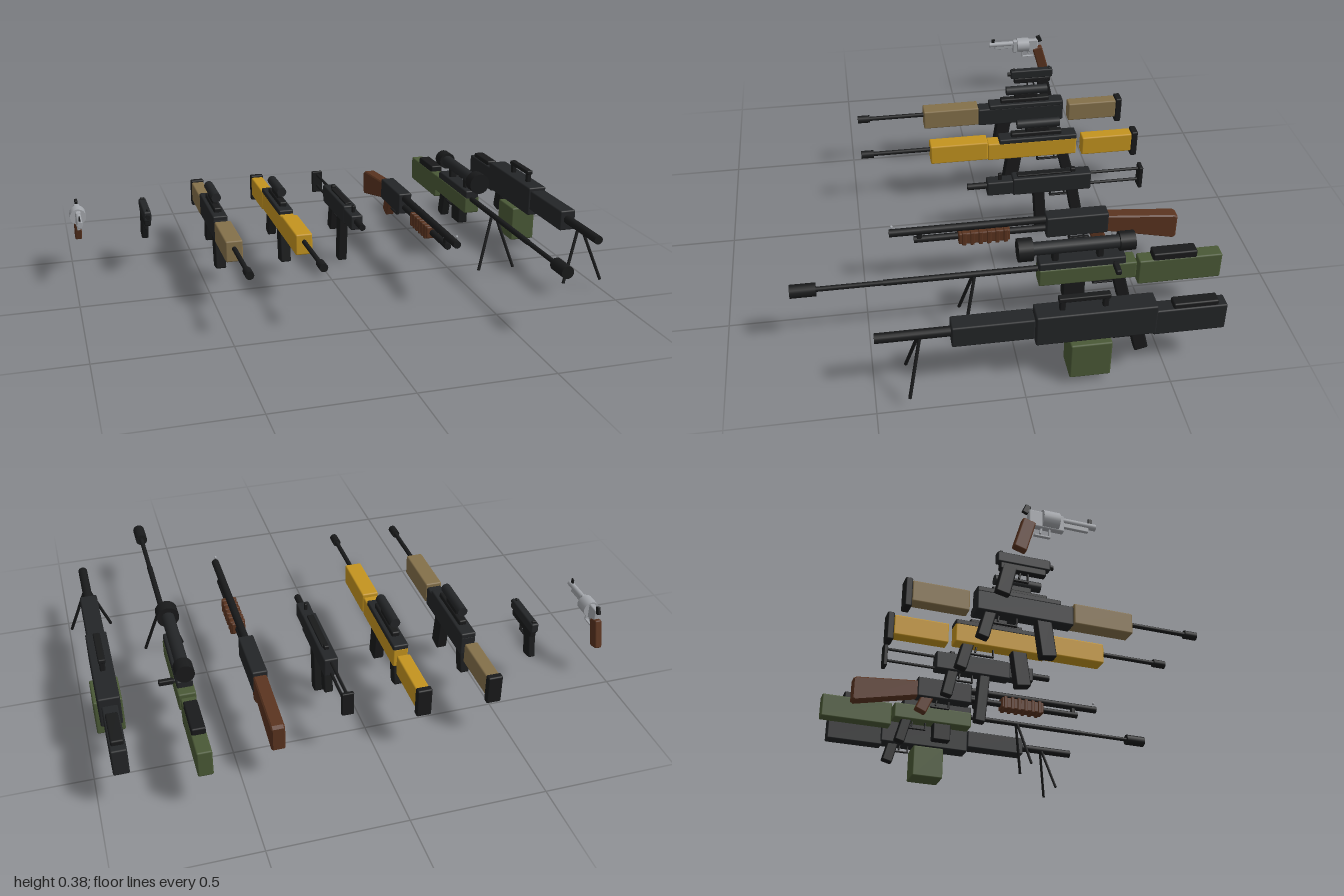
import * as THREE from 'three';
import { RoundedBoxGeometry } from 'three/addons/geometries/RoundedBoxGeometry.js';

const material = (name, color) => Object.assign(new THREE.MeshStandardMaterial({ color }), { name });

const dark = material('gunmetal', 0x232527);
const black = material('black', 0x191a1b);
const tan = material('tan', 0x84704a);
const yellow = material('yellow', 0xc4941f);
const brown = material('brown wood', 0x59331f);
const green = material('olive green', 0x4a5936);
const steel = material('steel', 0xa3a6ab);

function add(group, name, geometry, mat) {
  const mesh = new THREE.Mesh(geometry, mat);
  mesh.name = name;
  group.add(mesh);
  return mesh;
}

// Softly bevelled box given by width, height range and depth range; a positive tilt swings its foot back
function box(group, name, mat, w, y0, y1, z0, z1, tilt = 0, x = 0) {
  const h = y1 - y0, d = z1 - z0;
  const r = Math.min(0.006, w * 0.25, h * 0.25, d * 0.25);
  const mesh = add(group, name, new RoundedBoxGeometry(w, h, d, 2, r), mat);
  mesh.position.set(x, (y0 + y1) / 2, (z0 + z1) / 2);
  mesh.rotation.x = tilt;
  return mesh;
}

// Cylinder lying along z
function tube(group, name, mat, r, y, z0, z1, x = 0) {
  const mesh = add(group, name, new THREE.CylinderGeometry(r, r, z1 - z0, 16).rotateX(Math.PI / 2), mat);
  mesh.position.set(x, y, (z0 + z1) / 2);
  return mesh;
}

// Thin rod between two points
function rod(group, name, mat, r, a, b) {
  const from = new THREE.Vector3(...a), to = new THREE.Vector3(...b);
  const dir = to.clone().sub(from);
  const mesh = add(group, name, new THREE.CylinderGeometry(r, r, dir.length(), 8), mat);
  mesh.position.copy(from).add(to).multiplyScalar(0.5);
  mesh.quaternion.setFromUnitVectors(new THREE.Vector3(0, 1, 0), dir.normalize());
}

// Side profile of [z, y] points, extruded to a width
function profile(group, name, mat, w, points) {
  const b = 0.005;
  const shape = new THREE.Shape(points.map(([z, y]) => new THREE.Vector2(-z, y)));
  const geometry = new THREE.ExtrudeGeometry(shape, {
    depth: w - 2 * b, bevelThickness: b, bevelSize: b, bevelOffset: -b, bevelSegments: 1,
  });
  geometry.translate(0, 0, b - w / 2).rotateY(Math.PI / 2);
  return add(group, name, geometry, mat);
}

function triggerGuard(group, mat, top, z0, z1) {
  box(group, 'triggerGuard', mat, 0.012, top - 0.035, top - 0.029, z0, z1);
  box(group, 'triggerGuardFront', mat, 0.012, top - 0.033, top + 0.002, z1 - 0.006, z1);
  box(group, 'trigger', mat, 0.008, top - 0.024, top + 0.002, z0 + 0.02, z0 + 0.027, 0.2);
}

function bipod(group, top, zTop, zFoot, spread) {
  for (const s of [-1, 1]) {
    rod(group, 'bipodLeg', black, 0.006, [s * 0.01, top, zTop], [s * spread, 0.045, zFoot]);
  }
}

function revolver() {
  const g = new THREE.Group();
  box(g, 'frame', steel, 0.022, 0.225, 0.285, -0.405, -0.285);
  tube(g, 'cylinder', steel, 0.032, 0.26, -0.36, -0.305);
  tube(g, 'barrel', steel, 0.011, 0.27, -0.30, -0.175);
  box(g, 'barrelRib', steel, 0.012, 0.245, 0.265, -0.29, -0.20);
  box(g, 'frontSight', black, 0.006, 0.278, 0.298, -0.20, -0.185);
  box(g, 'hammer', black, 0.012, 0.27, 0.302, -0.42, -0.40, 0.4);
  box(g, 'grip', brown, 0.028, 0.13, 0.245, -0.44, -0.395, 0.28);
  triggerGuard(g, steel, 0.23, -0.385, -0.33);
  return g;
}

function pistol() {
  const g = new THREE.Group();
  box(g, 'slide', dark, 0.03, 0.24, 0.28, -0.42, -0.23);
  box(g, 'frame', black, 0.027, 0.215, 0.242, -0.41, -0.245);
  tube(g, 'barrel', black, 0.009, 0.26, -0.25, -0.217);
  box(g, 'grip', black, 0.028, 0.122, 0.235, -0.412, -0.36, 0.22);
  box(g, 'frontSight', black, 0.006, 0.277, 0.287, -0.25, -0.24);
  box(g, 'rearSight', black, 0.018, 0.277, 0.287, -0.41, -0.40);
  triggerGuard(g, black, 0.217, -0.36, -0.305);
  return g;
}

function rifle(furniture, receiver) {
  const g = new THREE.Group();
  box(g, 'receiver', receiver, 0.058, 0.19, 0.268, -0.41, -0.042);
  box(g, 'topCover', dark, 0.059, 0.262, 0.284, -0.41, -0.09);
  box(g, 'handguard', furniture, 0.066, 0.197, 0.28, -0.042, 0.192);
  tube(g, 'barrel', black, 0.009, 0.25, 0.18, 0.43);
  tube(g, 'muzzle', black, 0.016, 0.25, 0.42, 0.47);
  box(g, 'stock', furniture, 0.052, 0.178, 0.26, -0.645, -0.435);
  box(g, 'buttPad', black, 0.056, 0.155, 0.268, -0.67, -0.643);
  box(g, 'magazine', black, 0.042, 0.052, 0.205, -0.175, -0.115, -0.14);
  box(g, 'grip', black, 0.036, 0.09, 0.205, -0.39, -0.345, 0.25);
  triggerGuard(g, black, 0.192, -0.345, -0.25);
  // Sight on its rail
  box(g, 'rail', black, 0.03, 0.28, 0.302, -0.35, -0.14);
  box(g, 'sightMount', black, 0.022, 0.298, 0.325, -0.30, -0.20);
  tube(g, 'sight', dark, 0.019, 0.336, -0.34, -0.165);
  return g;
}

function compactGun() {
  const g = new THREE.Group();
  box(g, 'receiver', dark, 0.055, 0.20, 0.275, -0.41, -0.10);
  box(g, 'foreEnd', dark, 0.05, 0.205, 0.265, -0.105, 0);
  tube(g, 'barrel', black, 0.013, 0.24, -0.01, 0.075);
  box(g, 'topRail', black, 0.026, 0.272, 0.282, -0.33, -0.12);
  box(g, 'rearSight', black, 0.02, 0.275, 0.292, -0.35, -0.33);
  box(g, 'frontSight', black, 0.012, 0.26, 0.292, -0.06, -0.045);
  box(g, 'magazine', black, 0.038, 0.002, 0.21, -0.235, -0.19, 0.08);
  box(g, 'grip', black, 0.034, 0.095, 0.21, -0.37, -0.325, 0.2);
  triggerGuard(g, black, 0.202, -0.33, -0.25);
  // Folding frame stock
  for (const y of [0.21, 0.26]) rod(g, 'stockRod', black, 0.006, [0, y, -0.405], [0, y, -0.61]);
  box(g, 'buttPlate', black, 0.045, 0.18, 0.275, -0.62, -0.604);
  return g;
}

function shotgun() {
  const g = new THREE.Group();
  box(g, 'receiver', dark, 0.058, 0.19, 0.278, -0.415, -0.18);
  tube(g, 'barrel', black, 0.015, 0.257, -0.19, 0.40);
  tube(g, 'magazineTube', black, 0.013, 0.218, -0.19, 0.31);
  box(g, 'barrelClamp', black, 0.02, 0.21, 0.26, 0.28, 0.30);
  const bead = add(g, 'bead', new THREE.SphereGeometry(0.006, 8, 6), steel);
  bead.position.set(0, 0.286, 0.39);
  // Ribbed pump
  box(g, 'pump', brown, 0.052, 0.194, 0.243, -0.045, 0.147);
  for (let i = 0; i < 6; i++) {
    const z = -0.036 + i * 0.031;
    box(g, 'pumpRib', brown, 0.06, 0.19, 0.247, z, z + 0.016);
  }
  profile(g, 'stock', brown, 0.05, [[-0.41, 0.262], [-0.41, 0.192], [-0.672, 0.132], [-0.683, 0.14], [-0.683, 0.23], [-0.67, 0.238]]);
  box(g, 'grip', brown, 0.038, 0.128, 0.212, -0.405, -0.355, 0.4);
  triggerGuard(g, black, 0.192, -0.35, -0.27);
  return g;
}

function longRifle() {
  const g = new THREE.Group();
  box(g, 'chassis', green, 0.064, 0.195, 0.265, -0.45, -0.10);
  box(g, 'receiver', dark, 0.058, 0.255, 0.292, -0.41, -0.10);
  tube(g, 'barrel', black, 0.011, 0.255, -0.11, 0.44);
  tube(g, 'barrelEnd', black, 0.009, 0.255, 0.43, 0.69);
  tube(g, 'muzzleBrake', black, 0.024, 0.255, 0.67, 0.76);
  box(g, 'stock', green, 0.054, 0.157, 0.26, -0.764, -0.46);
  box(g, 'cheekRest', black, 0.05, 0.25, 0.285, -0.67, -0.51);
  box(g, 'magazine', black, 0.042, 0.12, 0.205, -0.27, -0.19);
  box(g, 'grip', black, 0.038, 0.092, 0.21, -0.425, -0.38, 0.25);
  triggerGuard(g, black, 0.197, -0.385, -0.30);
  // Bolt handle
  rod(g, 'boltHandle', black, 0.007, [0.02, 0.272, -0.37], [0.075, 0.272, -0.37]);
  box(g, 'boltKnob', black, 0.054, 0.262, 0.282, -0.38, -0.36, 0, 0.062);
  // Telescope
  tube(g, 'scopeTube', dark, 0.024, 0.343, -0.39, -0.07);
  tube(g, 'scopeFront', black, 0.042, 0.343, -0.078, -0.026);
  tube(g, 'scopeRear', black, 0.035, 0.343, -0.44, -0.385);
  for (const z of [-0.32, -0.16]) box(g, 'scopeMount', black, 0.03, 0.285, 0.33, z - 0.012, z + 0.012);
  bipod(g, 0.25, 0.125, 0.17, 0.075);
  return g;
}

function beltGun() {
  const g = new THREE.Group();
  box(g, 'receiver', dark, 0.078, 0.182, 0.302, -0.447, -0.038);
  box(g, 'handguard', dark, 0.066, 0.208, 0.29, -0.036, 0.24);
  tube(g, 'barrel', black, 0.0175, 0.253, 0.23, 0.49);
  box(g, 'stock', dark, 0.056, 0.166, 0.27, -0.69, -0.44);
  box(g, 'cheekRest', black, 0.044, 0.262, 0.288, -0.66, -0.505);
  box(g, 'ammoBox', green, 0.105, 0.03, 0.175, -0.297, -0.155);
  box(g, 'grip', black, 0.038, 0.095, 0.2, -0.42, -0.372, 0.25);
  triggerGuard(g, black, 0.185, -0.375, -0.31);
  // Carry handle
  box(g, 'carryHandle', black, 0.026, 0.335, 0.353, -0.29, -0.115);
  for (const z of [-0.275, -0.13]) box(g, 'handlePost', black, 0.02, 0.295, 0.342, z - 0.01, z + 0.01);
  bipod(g, 0.245, 0.343, 0.388, 0.08);
  return g;
}

export function createModel() {
  const model = new THREE.Group();
  model.name = 'weaponSet';
  // Row from right to left
  const row = [
    ['revolver', revolver(), -0.968],
    ['pistol', pistol(), -0.7],
    ['tanRifle', rifle(tan, dark), -0.432],
    ['yellowRifle', rifle(yellow, yellow), -0.164],
    ['compactGun', compactGun(), 0.104],
    ['shotgun', shotgun(), 0.372],
    ['longRifle', longRifle(), 0.641],
    ['beltGun', beltGun(), 0.91],
  ];
  for (const [name, group, x] of row) {
    group.name = name;
    group.position.x = x;
    model.add(group);
  }
  return model;
}
